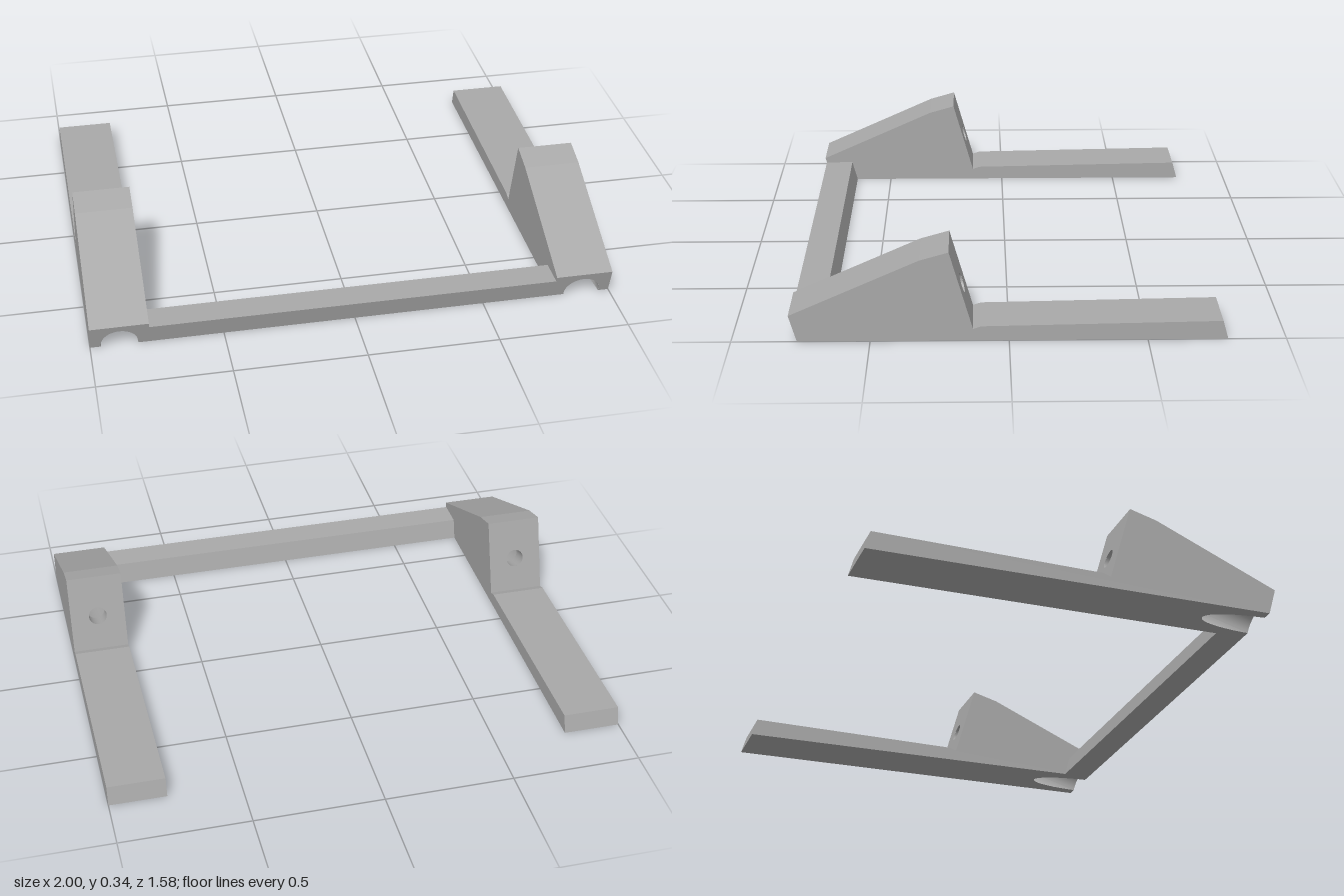
import * as THREE from 'three';
import { mergeGeometries } from 'three/addons/utils/BufferGeometryUtils.js';

const HALF = 0.11, RAIL_X = 0.89;      // rail half width and position
const BIG = 0.07, SMALL = 0.036;       // counterbore and through-hole radii
const SLOPE = Math.atan2(0.085, 0.295), S = Math.sin(SLOPE), C = Math.cos(SLOPE);
const HOLE = { z: 0.169, y: 0.18 };    // where the bore leaves the wedge's rear face
const STEP = 0.08, END = 0.62;         // bore distances: shoulder and front face
const SEG = 48;

// Side outline as [z, y], from the front bottom edge over the top to the back
const PROFILE = [
  [0.763, 0], [0.792, 0.1], [0.32, 0.31], [0.215, 0.34],
  [0.13, 0.045], [0.1, 0.055], [-0.77, 0.07], [-0.79, 0],
];
const v2 = (x, y) => new THREE.Vector2(x, y);

// Point in the bore: angle, radius and distance along its sloping axis
function borePoint(a, r, t) {
  const s = r * Math.sin(a);
  return new THREE.Vector3(r * Math.cos(a), HOLE.y - S * t + C * s, HOLE.z + C * t + S * s);
}
// Distance at which the bore wall breaks through the underside
const exitAt = (a) => (HOLE.y + C * BIG * Math.sin(a)) / S;
const START = Math.asin((S * END - HOLE.y) / (C * BIG));

// Flat panel across the rail from profile point a to b
function panel(a, b, shape) {
  const h = Math.hypot(b[0] - a[0], b[1] - a[1]);
  const outline = shape ? shape(h) : new THREE.Shape([v2(-HALF, 0), v2(HALF, 0), v2(HALF, h), v2(-HALF, h)]);
  const g = new THREE.ShapeGeometry(outline, SEG / 2);
  const p = g.attributes.position;
  for (let i = 0; i < p.count; i++) {
    const k = p.getY(i) / h;
    p.setXYZ(i, p.getX(i), a[1] + (b[1] - a[1]) * k, a[0] + (b[0] - a[0]) * k);
  }
  g.computeVertexNormals();
  return g;
}

// Front face with an arched notch
function frontShape(h) {
  const pts = [v2(-HALF, 0)];
  for (let i = 0; i <= SEG; i++) {
    const a = Math.PI - START + (2 * START - Math.PI) * i / SEG;
    pts.push(v2(BIG * Math.cos(a), Math.max(0, borePoint(a, BIG, END).y / C)));
  }
  return new THREE.Shape([...pts, v2(HALF, 0), v2(HALF, h), v2(-HALF, h)]);
}

// Underside with the tongue-shaped opening of the bore
function bottomShape(h) {
  const pts = [v2(-HALF, 0), v2(HALF, 0), v2(HALF, h)];
  for (let i = 0; i <= SEG; i++) {
    const a = 2 * Math.PI + START - (Math.PI + 2 * START) * i / SEG;
    pts.push(v2(BIG * Math.cos(a), Math.min(h, borePoint(a, BIG, exitAt(a)).z + 0.79)));
  }
  return new THREE.Shape([...pts, v2(-HALF, h)]);
}

// Rear wedge face with a round hole
function rearShape(h) {
  const s = new THREE.Shape([v2(-HALF, 0), v2(HALF, 0), v2(HALF, h), v2(-HALF, h)]);
  s.holes.push(new THREE.Path().absarc(0, (0.34 - HOLE.y) / C, SMALL, 0, Math.PI * 2, true));
  return s;
}

// Band around the bore between two rings
function band(inner, outer) {
  const pos = [], idx = [];
  for (let i = 0; i <= SEG; i++) {
    const a = START + Math.PI * 2 * i / SEG;
    pos.push(...inner(a).toArray(), ...outer(a).toArray());
    if (i < SEG) idx.push(2 * i, 2 * i + 1, 2 * i + 3, 2 * i, 2 * i + 3, 2 * i + 2);
  }
  const g = new THREE.BufferGeometry();
  g.setAttribute('position', new THREE.Float32BufferAttribute(pos, 3));
  g.setIndex(idx);
  g.computeVertexNormals();
  return g;
}

function railGeometry() {
  const special = { 0: frontShape, 3: rearShape, 7: bottomShape };
  const parts = PROFILE.map((p, i) => panel(p, PROFILE[(i + 1) % PROFILE.length], special[i]));
  // flat cheeks
  for (const s of [-1, 1]) {
    const cheek = new THREE.ShapeGeometry(new THREE.Shape(PROFILE.map(([z, y]) => v2(-s * z, y))));
    parts.push(cheek.rotateY(s * Math.PI / 2).translate(s * HALF, 0, 0));
  }
  parts.forEach((g) => g.deleteAttribute('uv'));
  return mergeGeometries(parts);
}

function boreGeometry() {
  return mergeGeometries([
    band((a) => borePoint(a, SMALL, 0), (a) => borePoint(a, SMALL, STEP)),
    band((a) => borePoint(a, SMALL, STEP), (a) => borePoint(a, BIG, STEP)),
    band((a) => borePoint(a, BIG, STEP), (a) => borePoint(a, BIG, Math.min(END, exitAt(a)))),
  ]);
}

export function createModel() {
  const model = new THREE.Group();
  model.name = 'bracketFrame';
  const grey = new THREE.MeshStandardMaterial({ color: 0xa8a8a8 });
  grey.name = 'grey';
  const add = (parent, name, geometry) => {
    const m = new THREE.Mesh(geometry, grey);
    m.name = name;
    parent.add(m);
    return m;
  };

  // Two wedge rails with sloping screw bores
  const rail = railGeometry(), bore = boreGeometry();
  for (const [side, x] of [['left', RAIL_X], ['right', -RAIL_X]]) {
    const g = new THREE.Group();
    g.name = side + 'Rail';
    g.position.x = x;
    add(g, side + 'RailBody', rail);
    add(g, side + 'ScrewBore', bore);
    model.add(g);
  }

  // Slanted crossbar joining the rails at the front
  const len = 2 * (RAIL_X - HALF);
  const section = new THREE.Shape([v2(-0.763, 0), v2(-0.65, 0), v2(-0.672, 0.08), v2(-0.786, 0.08)]);
  const bar = new THREE.ExtrudeGeometry(section, { depth: len, bevelEnabled: false });
  add(model, 'crossbar', bar.translate(0, 0, -len / 2).rotateY(Math.PI / 2));
  return model;
}
